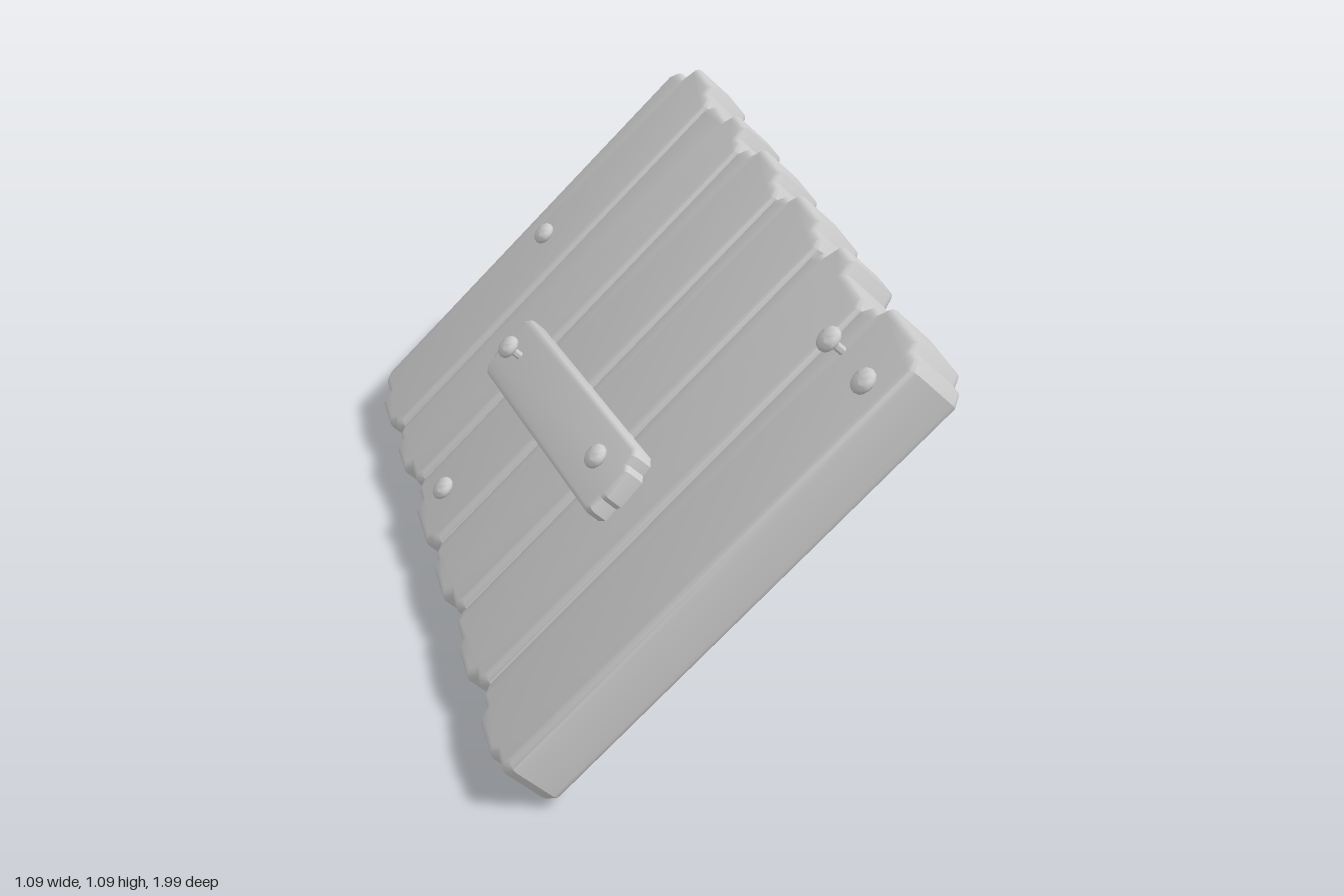
import * as THREE from 'three';
import { toCreasedNormals } from 'three/addons/utils/BufferGeometryUtils.js';

const material = new THREE.MeshStandardMaterial({ color: 0xcccccc });
const HALF_LENGTH = 0.703, HALF_THICK = 0.083, WIDTH = 0.333;

// Board with worn ends, lying along x, with its top at y = height.
// Each end is [inset, tabStart, tabEnd, inset]; tab positions run from -1 (front, +z) to 1 (back).
function board(name, halfLength, width, height, bevel, upper, lower) {
  const w = width / 2;
  const endPoints = ([i0, a, b, i1], sign) => [
    [i0 + 0.015, -1], [i0, -0.9], [i0, a - 0.08], [0, a + 0.06],
    [0, b - 0.06], [i1, b + 0.08], [i1, 0.9], [i1 + 0.015, 1],
  ].map(([inset, t]) => new THREE.Vector2(
    sign * (halfLength - bevel - inset), t * (w - bevel)));
  const outline = [...endPoints(upper, 1), ...endPoints(lower, -1).reverse()];
  const geo = new THREE.ExtrudeGeometry(new THREE.Shape(outline), {
    depth: height - 2 * bevel, bevelEnabled: true, bevelThickness: bevel,
    bevelSize: bevel, bevelSegments: 3, curveSegments: 4,
  });
  geo.translate(0, 0, bevel);
  geo.rotateX(-Math.PI / 2);
  const mesh = new THREE.Mesh(toCreasedNormals(geo, 0.6), material);
  mesh.name = name;
  return mesh;
}

// Nail with a domed head; lift raises the head on its shank.
function nail(name, x, y, z, lift, under) {
  const profile = [
    [0, -0.03], [0.011, -0.03], [0.011, lift], [0.026, lift], [0.032, lift + 0.005],
    [0.034, lift + 0.013], [0.031, lift + 0.022], [0.022, lift + 0.029], [0, lift + 0.032],
  ].map(([r, h]) => new THREE.Vector2(r, h));
  const mesh = new THREE.Mesh(
    toCreasedNormals(new THREE.LatheGeometry(profile, 18), 0.8), material);
  mesh.name = name;
  mesh.position.set(x, y, z);
  if (under) mesh.rotation.x = Math.PI;
  return mesh;
}

export function createModel() {
  const group = new THREE.Group();
  group.name = 'plankRamp';
  const slope = new THREE.Group();
  slope.name = 'slopedDeck';
  slope.rotation.z = Math.PI / 4;
  slope.position.y = 0.546;
  group.add(slope);

  // Six planks side by side, front to back: upper end, then lower end
  const ends = [
    [[0.025, -0.6, 0.55, 0.03], [0.02, -0.4, 0.5, 0.03]],
    [[0.035, 0.1, 0.65, 0.045], [0.03, -0.5, 0.3, 0.02]],
    [[0.025, -0.5, 0.6, 0.03], [0.03, -0.3, 0.6, 0.02]],
    [[0.03, -0.55, 0.5, 0.03], [0.02, -0.7, 0.4, 0.03]],
    [[0.035, -0.6, 0.0, 0.03], [0.03, -0.2, 0.6, 0.025]],
    [[0.025, -0.6, 0.4, 0.05], [0.02, -0.6, 0.3, 0.035]],
  ];
  ends.forEach(([upper, lower], i) => {
    const plank = board('plank' + (i + 1), HALF_LENGTH, WIDTH - 0.005, HALF_THICK * 2, 0.022, upper, lower);
    plank.position.set(0, -HALF_THICK, 1 - WIDTH * (i + 0.5));
    slope.add(plank);
  });

  // Cleat nailed across the middle planks
  const cleat = board('crossCleat', 0.495, 0.2, 0.076, 0.014,
    [0.012, -0.4, 0.5, 0.02], [0.015, -0.5, 0.3, 0.012]);
  cleat.position.set(-0.147, HALF_THICK - 0.02, 0.045);
  cleat.rotation.y = -Math.PI / 2 + 0.12;
  slope.add(cleat);

  // Nails on the upper face: x, z, lift, height above the planks
  [
    [0.034, -0.84, 0, 0], [-0.581, -0.175, 0, 0], [0.55, 0.91, 0, 0], [0.55, 0.745, 0.037, 0],
    [-0.181, -0.31, 0.032, 0.056], [-0.095, 0.395, 0, 0.056],
  ].forEach(([x, z, lift, h], i) =>
    slope.add(nail('topNail' + (i + 1), x, HALF_THICK + h, z, lift, false)));

  // Nails on the underside: x, z, lift
  [
    [-0.55, 0.57, 0.025], [-0.54, 0.435, 0], [-0.203, 0.17, 0], [0.567, -0.165, 0], [0.051, -0.83, 0],
  ].forEach(([x, z, lift], i) =>
    slope.add(nail('undersideNail' + (i + 1), x, -HALF_THICK, z, lift, true)));

  return group;
}
